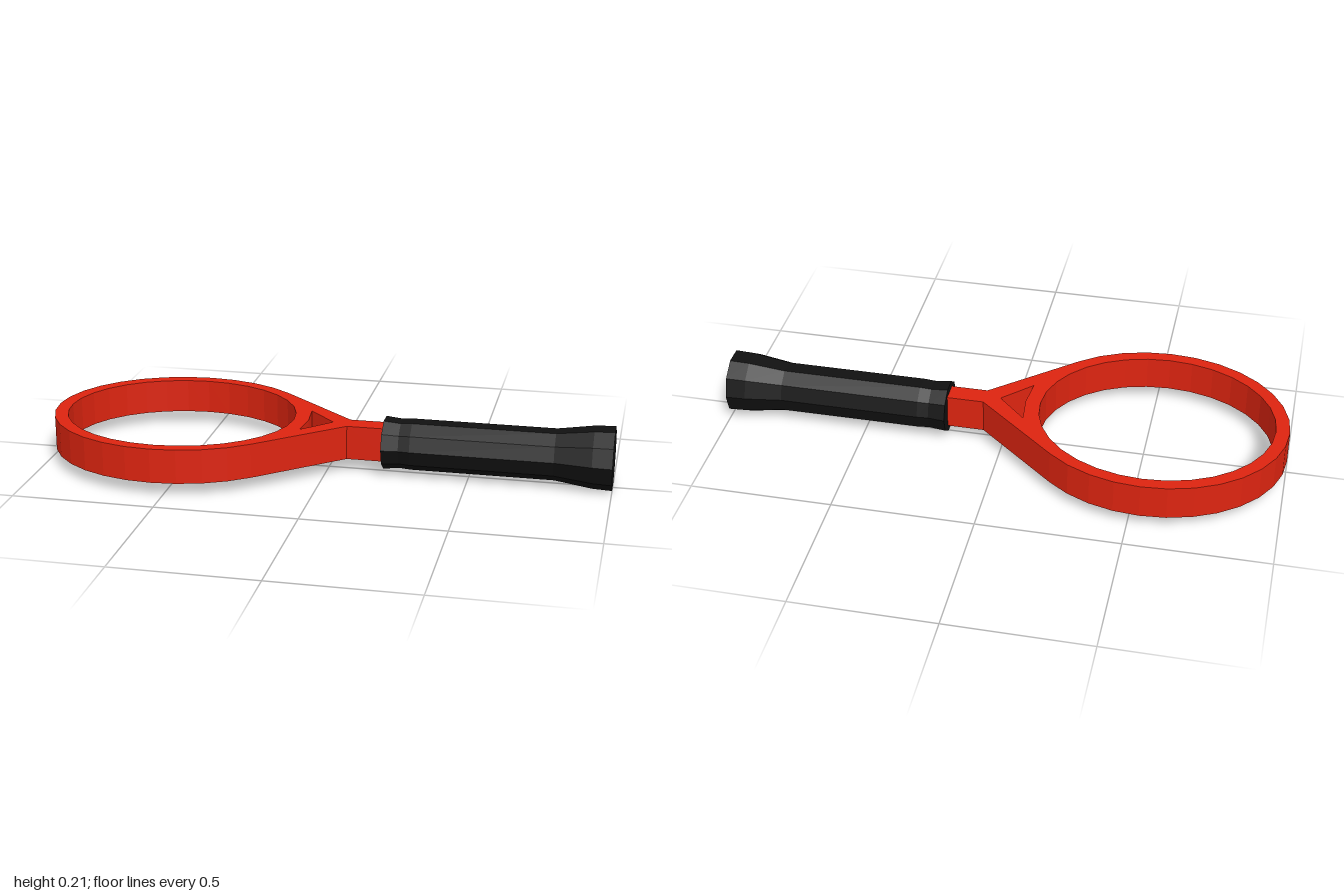
import * as THREE from 'three';

const CX = -0.54, MID = 0.1065, DEPTH = 0.122;

// Points along the head's ellipse, from step a to step b of 32
function ellipse(rx, rz, a, b) {
  const pts = [];
  for (let i = a; i <= b; i++) {
    const t = (i / 32) * Math.PI * 2;
    pts.push(new THREE.Vector2(CX + rx * Math.cos(t), rz * Math.sin(t)));
  }
  return pts;
}

export function createModel() {
  const model = new THREE.Group();
  const red = new THREE.MeshStandardMaterial({ color: 0xdd2410, flatShading: true });
  const black = new THREE.MeshStandardMaterial({ color: 0x111111, flatShading: true });

  // Head, throat and neck as one flat outline
  const outline = new THREE.Shape([
    ...ellipse(0.46, 0.4, 4, 28),
    new THREE.Vector2(0.07, -0.036),
    new THREE.Vector2(0.24, -0.036),
    new THREE.Vector2(0.24, 0.036),
    new THREE.Vector2(0.07, 0.036),
  ]);

  // Open head and the triangular throat gap
  outline.holes.push(new THREE.Path(ellipse(0.412, 0.356, 0, 31)));
  outline.holes.push(new THREE.Path([
    new THREE.Vector2(0.015, 0),
    new THREE.Vector2(-0.085, 0.1),
    new THREE.Vector2(-0.075, 0),
    new THREE.Vector2(-0.085, -0.1),
  ]));

  const frameGeo = new THREE.ExtrudeGeometry(outline, { depth: DEPTH, bevelEnabled: false });
  frameGeo.rotateX(-Math.PI / 2);
  const frame = new THREE.Mesh(frameGeo, red);
  frame.name = 'racketFrame';
  frame.position.y = MID - DEPTH / 2 + 0.001;
  model.add(frame);

  // Ten-sided grip: collar, shaft and flared butt
  const profile = [[0, 0.2], [0.093, 0.2], [0.087, 0.26], [0.09, 0.3], [0.09, 0.8],
    [0.109, 0.93], [0.112, 1], [0, 1]].map(([r, x]) => new THREE.Vector2(r, x));
  const gripGeo = new THREE.LatheGeometry(profile, 10);
  gripGeo.rotateZ(-Math.PI / 2);
  const grip = new THREE.Mesh(gripGeo, black);
  grip.name = 'grip';
  grip.position.y = MID;
  model.add(grip);

  return model;
}
